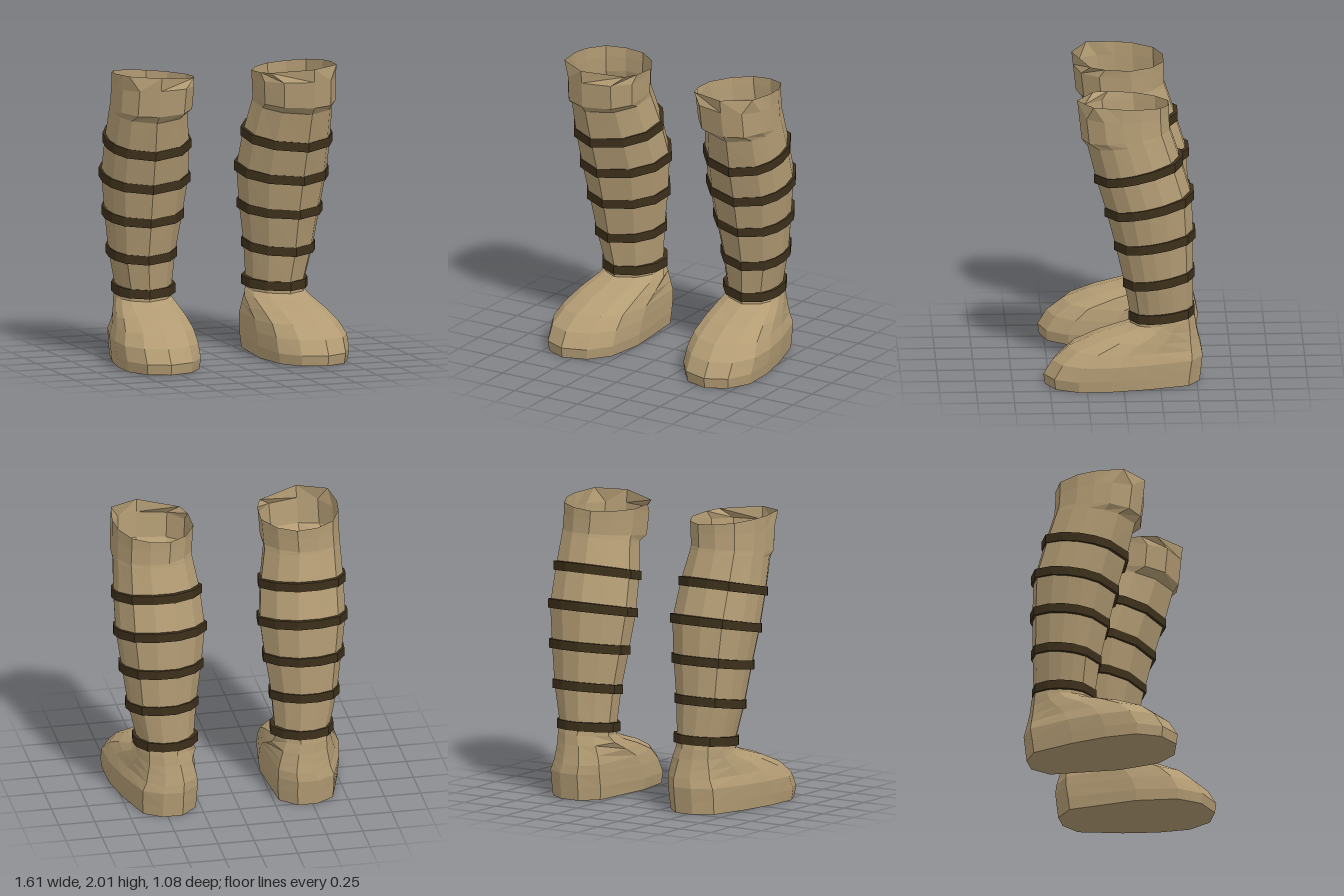
import * as THREE from 'three';

// Unit outlines seen from above: [across (+ = outer side), along (+ = toe)]
const FOOT = [[0.17, 1], [-0.45, 0.9], [-0.85, 0.63], [-1, 0.1], [-0.86, -0.8], [-0.45, -1],
  [0.05, -1], [0.5, -0.85], [0.82, -0.3], [0.98, 0.15], [1, 0.57], [0.7, 0.87]];
const SHAFT = [[0.17, 1], [-0.55, 0.74], [-0.92, 0.3], [-1, -0.25], [-0.7, -0.72], [-0.25, -1],
  [0.25, -1], [0.7, -0.8], [0.95, -0.35], [1, 0.05], [0.94, 0.4], [0.75, 0.72]];
// Knee cap outlines: corners pushed forward, then drawn back at the rim
const swap = (changes) => SHAFT.map((p, i) => changes[i] || p);
const CAP = swap({ 1: [-0.58, 0.84], 2: [-0.95, 0.45], 10: [0.97, 0.45], 11: [0.68, 0.84] });
const RIM = swap({ 1: [-0.85, 0.62], 2: [-0.98, 0.3], 11: [0.9, 0.66] });
const blend = (t) => FOOT.map((p, i) => p.map((c, k) => c + (SHAFT[i][k] - c) * t));

// Sections: [xInner, xOuter, zFront, zBack, yFront, yBack, outline, side tilt]
const BOOT = [
  [0.25, 0.79, 0.53, -0.52, 0, 0, FOOT],
  [0.24, 0.80, 0.54, -0.53, 0.07, 0.09, FOOT],
  [0.24, 0.80, 0.48, -0.54, 0.17, 0.18, FOOT],
  [0.245, 0.765, 0.37, -0.53, 0.26, 0.24, FOOT],
  [0.25, 0.73, 0.21, -0.515, 0.33, 0.30, blend(0.3)],
  [0.26, 0.69, 0.02, -0.50, 0.385, 0.37, blend(0.7)],
  [0.28, 0.67, -0.05, -0.49, 0.41, 0.44, SHAFT],
  [0.28, 0.665, -0.05, -0.475, 0.47, 0.52, SHAFT],
  [0.26, 0.72, -0.01, -0.475, 0.70, 0.78, SHAFT],
  [0.22, 0.755, 0.05, -0.475, 0.96, 1.05, SHAFT],
  [0.19, 0.79, 0.11, -0.465, 1.20, 1.32, SHAFT],
  [0.21, 0.79, 0.18, -0.39, 1.44, 1.57, SHAFT],
  [0.25, 0.78, 0.24, -0.32, 1.68, 1.78, SHAFT],
  [0.25, 0.78, 0.28, -0.315, 1.73, 1.80, CAP],
  [0.24, 0.775, 0.30, -0.31, 1.91, 1.90, CAP],
  [0.235, 0.775, 0.31, -0.31, 1.997, 1.965, RIM, 0.02],
];

// Outer faces of the five straps, measured at mid height
const STRAPS = [
  [0.25, 0.69, -0.04, -0.485, 0.46, 0.50],
  [0.245, 0.735, 0, -0.485, 0.70, 0.775],
  [0.205, 0.775, 0.06, -0.49, 0.965, 1.05],
  [0.175, 0.805, 0.125, -0.48, 1.205, 1.325],
  [0.195, 0.805, 0.195, -0.405, 1.445, 1.575],
];

function ringPoints([x0, x1, zf, zb, yf, yb, outline = SHAFT, tilt = 0], side) {
  return outline.map(([u, v]) => new THREE.Vector3(
    side * ((x0 + x1) / 2 + (u * (x1 - x0)) / 2),
    yb + ((yf - yb) * (v + 1)) / 2 + tilt * u,
    (zf + zb) / 2 + (v * (zf - zb)) / 2));
}

// Skin of faces through a stack of rings
function loft(sections, side) {
  const rings = sections.map((s) => ringPoints(s, side));
  const n = rings[0].length;
  const points = rings.flat();
  const index = [];
  for (let r = 0; r < rings.length - 1; r++) {
    for (let j = 0; j < n; j++) {
      const a = r * n + j, b = r * n + ((j + 1) % n);
      const c = a + n, d = b + n;
      if (side > 0) index.push(a, c, d, a, d, b);
      else index.push(a, d, c, a, b, d);
    }
  }
  const geometry = new THREE.BufferGeometry().setFromPoints(points);
  geometry.setIndex(index);
  const flat = geometry.toNonIndexed();
  flat.computeVertexNormals();
  return flat;
}

// Closed band: out, up, in and down around a rectangular section
function strapSections([x0, x1, zf, zb, yf, yb]) {
  const at = (inset, dy) => [x0 + inset, x1 - inset, zf - inset, zb + inset, yf + dy, yb + dy];
  const h = 0.031, t = 0.035;
  return [at(t, -h), at(0, -h), at(0, h), at(t, h), at(t, -h)];
}

export function createModel() {
  const model = new THREE.Group();
  model.name = 'boots';
  const leather = new THREE.MeshStandardMaterial({
    color: 0xb39c74, flatShading: true, side: THREE.DoubleSide });
  const dark = new THREE.MeshStandardMaterial({
    color: 0x3d301b, flatShading: true, side: THREE.DoubleSide });

  for (const side of [1, -1]) {
    const boot = new THREE.Group();
    boot.name = side > 0 ? 'leftBoot' : 'rightBoot';
    const add = (name, geometry, material) => {
      const mesh = new THREE.Mesh(geometry, material);
      mesh.name = name;
      boot.add(mesh);
    };

    // Foot, shaft and knee cap in one open-topped skin
    add('bootUpper', loft(BOOT, side), leather);

    // Flat sole closing the bottom
    const outline = ringPoints(BOOT[0], side).map((p) => new THREE.Vector2(p.x, p.z));
    const sole = new THREE.ShapeGeometry(new THREE.Shape(outline));
    sole.rotateX(Math.PI / 2);
    add('sole', sole, leather);

    // Straps wrapped around the shaft
    STRAPS.forEach((s, i) => add(`strap${i + 1}`, loft(strapSections(s), side), dark));
    model.add(boot);
  }
  return model;
}
